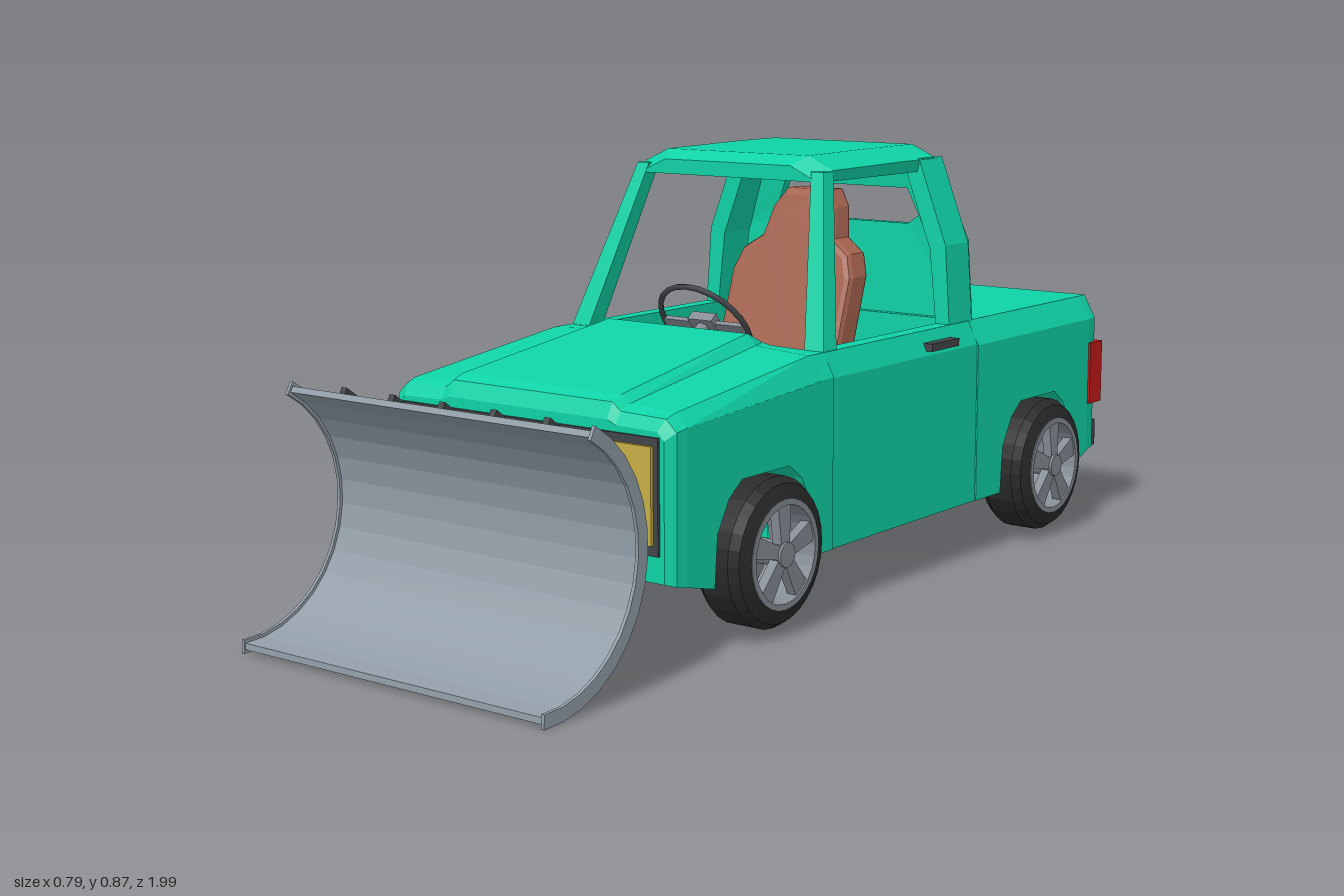
import * as THREE from 'three';

const mat = (name, color) => Object.assign(new THREE.MeshStandardMaterial({ color }), { name });

export function createModel() {
  const root = new THREE.Group();
  root.name = 'plowTruck';
  const green = mat('bodyGreen', 0x0fd2a6), steel = mat('steelGrey', 0x929ea8), alloy = mat('alloyGrey', 0x858c94);
  const dark = mat('darkTrim', 0x424548), black = mat('tyreBlack', 0x2a2a2a), brown = mat('seatBrown', 0xa5634f);
  const red = mat('lampRed', 0xc41a1a), yellow = mat('lampYellow', 0xc8ae46);

  const add = (name, geo, m, parent = root) => {
    const mesh = new THREE.Mesh(geo, m);
    mesh.name = name;
    parent.add(mesh);
    return mesh;
  };
  const box = (x0, x1, y0, y1, z0, z1) =>
    new THREE.BoxGeometry(x1 - x0, y1 - y0, z1 - z0).translate((x0 + x1) / 2, (y0 + y1) / 2, (z0 + z1) / 2);

  // Swap two corners of every triangle so the surface faces the other way
  const flip = (geo) => {
    const p = geo.attributes.position.array;
    for (let i = 0; i < p.length; i += 9)
      for (let k = 0; k < 3; k++) [p[i + 3 + k], p[i + 6 + k]] = [p[i + 6 + k], p[i + 3 + k]];
    return geo;
  };
  // A flat-shaded part and its mirror image
  const both = (name, geo, m) => {
    const g = geo.index ? geo.toNonIndexed() : geo;
    const other = flip(g.clone().scale(-1, 1, 1));
    other.computeVertexNormals();
    add(name + 'Left', g, m);
    add(name + 'Right', other, m);
  };

  // Closed solid through rings of [x, y, z]; point i of a ring pairs with point n-1-i for the caps
  const loft = (rings) => {
    const pos = [], n = rings[0].length;
    const quad = (a, b, c, d) => pos.push(...a, ...b, ...c, ...a, ...c, ...d);
    for (let r = 0; r < rings.length - 1; r++) {
      const A = rings[r], B = rings[r + 1];
      for (let i = 0; i < n; i++) quad(A[i], A[(i + 1) % n], B[(i + 1) % n], B[i]);
    }
    const S = rings[0], E = rings[rings.length - 1];
    for (let i = 0; i < n / 2 - 1; i++) {
      quad(S[i], S[n - 1 - i], S[n - 2 - i], S[i + 1]);
      quad(E[i], E[i + 1], E[n - 2 - i], E[n - 1 - i]);
    }
    let vol = 0;
    for (let i = 0; i < pos.length; i += 9) {
      const [a, b, c] = [0, 3, 6].map((k) => new THREE.Vector3(pos[i + k], pos[i + k + 1], pos[i + k + 2]));
      vol += a.dot(b.cross(c));
    }
    const geo = new THREE.BufferGeometry();
    geo.setAttribute('position', new THREE.Float32BufferAttribute(pos, 3));
    if (vol < 0) flip(geo);
    geo.computeVertexNormals();
    return geo;
  };
  const ring = (z, pts) => pts.map(([x, y]) => [x, y, z]);
  const symRing = (z, pts) => ring(z, [...pts, ...pts.map(([x, y]) => [-x, y]).reverse()]);

  // Outline in (z, y) extruded across x
  const sideExtrude = (pts, x0, x1) =>
    new THREE.ExtrudeGeometry(new THREE.Shape(pts.map(([z, y]) => new THREE.Vector2(z, y))), { depth: x1 - x0, bevelEnabled: false })
      .rotateY(-Math.PI / 2).translate(x1, 0, 0);

  // Lower body sides with wheel arches
  const arch = (c) => [[0.158, 0.12], [0.15, 0.22], [0.115, 0.28], [0.075, 0.31], [-0.075, 0.31], [-0.115, 0.28], [-0.15, 0.22], [-0.158, 0.12]]
    .map(([z, y]) => [c + z, y]);
  const frontZ = 0.32, rearZ = -0.7;
  both('frontFender', sideExtrude([[0.1, 0.46], [0.56, 0.43], [0.56, 0.14], ...arch(frontZ), [0.1, 0.12]], 0.235, 0.345), green);
  both('bedSide', sideExtrude([[-0.93, 0.455], [-0.44, 0.455], [-0.44, 0.12], ...arch(rearZ), [-0.93, 0.15]], 0.235, 0.345), green);
  const doorPts = [[0.342, 0.12], [0.342, 0.457], [0.32, 0.505], [0.285, 0.505], [0.285, 0.457], [0.285, 0.12]];
  both('door', loft([ring(0.1, doorPts), ring(-0.44, doorPts)]), green);
  both('doorHandle', box(0.325, 0.352, 0.466, 0.482, -0.35, -0.245), dark);

  // Inner body blocks and floor
  add('engineBay', box(-0.24, 0.24, 0.17, 0.45, 0.1, 0.57), green);
  add('bedCore', box(-0.24, 0.24, 0.17, 0.46, -0.94, -0.44), green);
  add('floor', box(-0.29, 0.29, 0.12, 0.16, -0.54, 0.16), green);

  // Hood, nose, bed cover and tail
  add('hood', loft([
    symRing(0.56, [[0.345, 0.43], [0.32, 0.455], [0.215, 0.46], [0.195, 0.475]]),
    symRing(0.15, [[0.345, 0.457], [0.32, 0.505], [0.195, 0.513], [0.175, 0.535]]),
    symRing(0.1, [[0.345, 0.46], [0.32, 0.505], [0.195, 0.508], [0.175, 0.512]])]), green);
  add('nose', loft([
    symRing(0.56, [[0.345, 0.14], [0.345, 0.43], [0.32, 0.455], [0.215, 0.46], [0.195, 0.475]]),
    symRing(0.585, [[0.342, 0.145], [0.342, 0.425], [0.318, 0.447], [0.215, 0.45], [0.195, 0.465]]),
    symRing(0.6, [[0.325, 0.15], [0.325, 0.41], [0.31, 0.425], [0.215, 0.427], [0.195, 0.435]])]), green);
  add('bedCover', loft([-0.44, -0.93].map((z) => symRing(z, [[0.345, 0.455], [0.315, 0.505]]))), green);
  add('tailgate', loft([
    symRing(-0.93, [[0.345, 0.15], [0.345, 0.455], [0.315, 0.505]]),
    symRing(-0.965, [[0.34, 0.155], [0.34, 0.455], [0.312, 0.505]]),
    symRing(-0.98, [[0.325, 0.17], [0.325, 0.45], [0.3, 0.498]])]), green);

  // Lamps, grille and rear bumper
  add('grille', box(-0.315, 0.315, 0.2, 0.415, 0.595, 0.606), dark);
  both('headlight', box(0.18, 0.305, 0.22, 0.4, 0.605, 0.613), yellow);
  both('tailLight', box(0.29, 0.35, 0.26, 0.4, -0.985, -0.93), red);
  add('rearBumper', box(-0.335, 0.335, 0.155, 0.215, -0.988, -0.95), dark);

  // Cab: roof, pillars and rear wall with its window
  const roofPts = (d) => [[0.235 - d, 0.82], [0.24 - d, 0.845 - d], [0.18 - d, 0.872 - d]];
  add('roof', loft([symRing(-0.015, roofPts(0.022)), symRing(-0.05, roofPts(0.003)), symRing(-0.3, roofPts(0)),
    symRing(-0.43, roofPts(0)), symRing(-0.46, roofPts(0.015))]), green);
  const pillarRing = (x, y, z, w, d) => [[x, y, z], [x, y, z - d], [x - w, y, z - d], [x - w, y, z]];
  both('windscreenPillar', loft([pillarRing(0.32, 0.495, 0.1, 0.045, 0.045), pillarRing(0.235, 0.84, -0.02, 0.03, 0.035)]), green);
  const quarter = [[0.318, 0.5], [0.306, 0.67], [0.238, 0.848], [0.2, 0.84], [0.268, 0.66], [0.285, 0.5]];
  both('cabQuarter', loft([ring(-0.365, quarter), ring(-0.455, quarter),
    ring(-0.478, quarter.map(([x, y]) => [x - 0.012, y - (y > 0.8 ? 0.03 : 0)]))]), green);
  const vec = ([x, y]) => new THREE.Vector2(x, y);
  const mirrorPts = (pts) => [...pts, ...pts.map(([x, y]) => [-x, y]).reverse()].map(vec);
  const wallShape = new THREE.Shape(mirrorPts([[0.3, 0.49], [0.294, 0.67], [0.225, 0.845]]));
  wallShape.holes.push(new THREE.Path(mirrorPts([[0.155, 0.7], [0.185, 0.72], [0.16, 0.777]])));
  const wall = new THREE.ExtrudeGeometry(wallShape, { depth: 0.022, bevelEnabled: false }).translate(0, 0, -0.478);
  const wp = wall.attributes.position;
  for (let i = 0; i < wp.count; i++) wp.setZ(i, wp.getZ(i) + Math.max(0, wp.getY(i) - 0.7) * 0.15);
  wall.computeVertexNormals();
  add('cabRearWall', wall, green);

  // Seat: a shouldered back leaning rearward, and a cushion
  const back = new THREE.ExtrudeGeometry(new THREE.Shape(mirrorPts(
    [[0.12, 0.24], [0.14, 0.32], [0.14, 0.6], [0.125, 0.64], [0.08, 0.67], [0.065, 0.735], [0.045, 0.763]])),
  { depth: 0.045, bevelEnabled: true, bevelThickness: 0.014, bevelSize: 0.014, bevelSegments: 2 });
  const bp = back.attributes.position;
  for (let i = 0; i < bp.count; i++) bp.setZ(i, bp.getZ(i) - 0.262 - (bp.getY(i) - 0.5) * 0.33);
  back.computeVertexNormals();
  add('seatBack', back, brown);
  add('seatCushion', box(-0.155, 0.155, 0.2, 0.31, -0.2, 0.04), brown);
  add('seatBase', box(-0.12, 0.12, 0.16, 0.2, -0.2, 0.02), alloy);

  // Steering wheel, top tilted forward
  const steering = new THREE.Group();
  steering.name = 'steeringWheel';
  steering.position.set(0, 0.527, 0.055);
  steering.rotation.x = 0.65;
  root.add(steering);
  add('steeringRim', new THREE.TorusGeometry(0.104, 0.006, 6, 24), dark, steering);
  add('steeringHub', box(-0.03, 0.03, -0.022, 0.022, -0.012, 0.01), alloy, steering);
  for (const a of [0, Math.PI, -Math.PI / 2])
    add('steeringSpoke', box(0.02, 0.102, -0.009, 0.009, -0.005, 0.005).rotateZ(a), alloy, steering);
  add('steeringColumn', new THREE.CylinderGeometry(0.014, 0.014, 0.1, 8).rotateX(Math.PI / 2).translate(0, 0, 0.05), alloy, steering);

  // Wheels, built with the outer face toward +x
  const lathe = (pts, n) => new THREE.LatheGeometry(pts.map(vec), n).toNonIndexed().rotateZ(-Math.PI / 2);
  const tyre = lathe([[0.103, -0.055], [0.13, -0.055], [0.145, -0.035], [0.145, 0.028], [0.133, 0.045], [0.103, 0.055], [0.103, -0.055]], 28);
  const rim = lathe([[0.092, -0.05], [0.104, -0.05], [0.106, 0.056], [0.094, 0.056], [0.092, -0.05]], 28);
  tyre.computeVertexNormals();
  rim.computeVertexNormals();
  const spokeRing = (y, w, x) => [[x, y, w], [x, y, -w], [x - 0.02, y, -w], [x - 0.02, y, w]];
  const spoke = loft([spokeRing(0.01, 0.012, 0.055), spokeRing(0.097, 0.021, 0.052)]);
  for (const z of [frontZ, rearZ]) for (const s of [1, -1]) {
    const wheel = new THREE.Group();
    wheel.name = (z > 0 ? 'front' : 'rear') + 'Wheel' + (s > 0 ? 'Left' : 'Right');
    wheel.position.set(s * 0.335, 0.16, z);
    wheel.rotation.y = s > 0 ? 0 : Math.PI;
    root.add(wheel);
    add('tyre', tyre, black, wheel);
    add('rim', rim, alloy, wheel);
    for (let i = 0; i < 5; i++) add('spoke', spoke, alloy, wheel).rotation.x = (i * Math.PI * 2) / 5;
    add('hub', new THREE.CylinderGeometry(0.024, 0.026, 0.09, 12).rotateZ(-Math.PI / 2).translate(0.015, 0, 0), alloy, wheel);
  }
  for (const z of [frontZ, rearZ])
    add('axle', new THREE.CylinderGeometry(0.018, 0.018, 0.6, 8).rotateZ(Math.PI / 2).translate(0, 0.155, z), alloy);

  // Exhaust: silencer, cross pipe and twin tailpipes
  add('silencer', box(0.03, 0.15, 0.095, 0.165, -0.9, -0.8), alloy);
  add('exhaustCrossPipe', box(-0.14, 0.04, 0.11, 0.14, -0.87, -0.84), alloy);
  both('tailpipe', new THREE.CylinderGeometry(0.016, 0.018, 0.15, 8).rotateX(-Math.PI / 2 + 0.15).translate(0.1, 0.122, -0.915), alloy);

  // Snow plow: curved blade, end rims and rear ribs
  const arc = (r0, r1, a0, a1, x0, x1) => {
    const pts = [], n = 14;
    for (const [r, from, to] of [[r0, a0, a1], [r1, a1, a0]])
      for (let i = 0; i <= n; i++) {
        const a = THREE.MathUtils.degToRad(from + ((to - from) * i) / n);
        pts.push([0.985 + r * Math.cos(a), 0.258 + r * Math.sin(a)]);
      }
    return sideExtrude(pts, x0, x1);
  };
  add('plowBlade', arc(0.25, 0.238, 119, 273, -0.335, 0.385), steel);
  for (const x of [-0.341, 0.384]) add('plowEndRim', arc(0.258, 0.232, 118, 273.4, x, x + 0.007), steel);
  for (let i = 0; i < 5; i++) {
    const x = 0.025 + (i - 2) * 0.122;
    add('plowRib', arc(0.266, 0.249, 122, 238, x - 0.007, x + 0.007), dark);
  }

  // Plow mount
  const mountRing = (z, x, y0, y1) => symRing(z, [[x, y0], [x, y1]]);
  add('plowMountPlate', box(-0.18, 0.18, 0.22, 0.4, 0.708, 0.73), dark);
  add('plowMountArm', loft([mountRing(0.61, 0.14, 0.185, 0.215), mountRing(0.65, 0.15, 0.19, 0.22),
    mountRing(0.72, 0.18, 0.225, 0.262)]), dark);
  both('plowMountBracket', box(0.07, 0.11, 0.18, 0.21, 0.56, 0.63), dark);
  return root;
}
